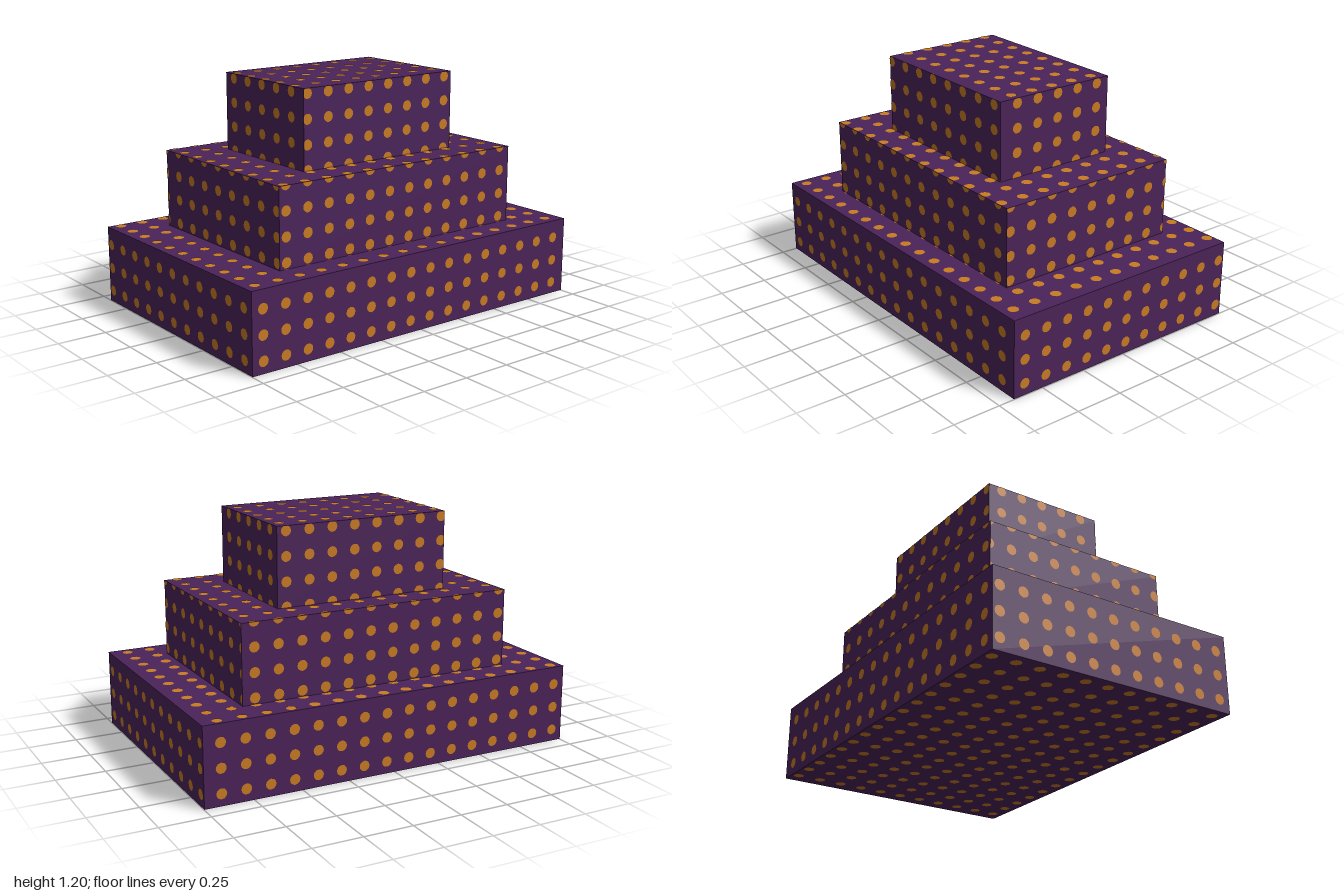
import * as THREE from 'three';

// Dots sit on one shared grid that runs through all tiers
const PITCH = 0.1237, RADIUS = 0.027, LIFT = 0.002, SIDES = 12;
const ORIGIN = [-0.941, 0.062, -0.631];

const clamp = THREE.MathUtils.clamp;

// Adds the dots of one box face, each clipped to the face's edges
function addFaceDots(out, min, max, axis, sign, hidden) {
  let u = (axis + 1) % 3, v = (axis + 2) % 3;
  if (sign < 0) [u, v] = [v, u];
  const level = sign > 0 ? max[axis] + LIFT : min[axis] - LIFT;
  const first = (a) => Math.ceil((min[a] - RADIUS - ORIGIN[a]) / PITCH);
  const last = (a) => Math.floor((max[a] + RADIUS - ORIGIN[a]) / PITCH);
  const push = (a, b) => {
    const p = [0, 0, 0];
    p[axis] = level;
    p[u] = clamp(a, min[u], max[u]);
    p[v] = clamp(b, min[v], max[v]);
    out.push(...p);
  };
  for (let i = first(u); i <= last(u); i++) {
    for (let j = first(v); j <= last(v); j++) {
      const cu = ORIGIN[u] + i * PITCH, cv = ORIGIN[v] + j * PITCH;
      // Leave out dots that the tier above covers completely
      if (hidden && Math.abs(cu) < hidden[u] - RADIUS && Math.abs(cv) < hidden[v] - RADIUS) continue;
      for (let k = 0; k < SIDES; k++) {
        const a = (k / SIDES) * Math.PI * 2, b = ((k + 1) / SIDES) * Math.PI * 2;
        push(cu, cv);
        push(cu + RADIUS * Math.cos(a), cv + RADIUS * Math.sin(a));
        push(cu + RADIUS * Math.cos(b), cv + RADIUS * Math.sin(b));
      }
    }
  }
}

export function createModel() {
  const purple = new THREE.MeshStandardMaterial({ color: 0x4b2359 });
  purple.name = 'purple';
  const orange = new THREE.MeshStandardMaterial({ color: 0xc87b22 });
  orange.name = 'orange';

  const model = new THREE.Group();
  model.name = 'steppedBlock';
  const height = 0.4;
  const tiers = [
    { name: 'bottomTier', x: 1, z: 0.667 },
    { name: 'middleTier', x: 0.731, z: 0.501 },
    { name: 'topTier', x: 0.467, z: 0.333 },
  ];

  tiers.forEach(({ name, x, z }, i) => {
    const tier = new THREE.Group();
    tier.name = name;

    // Plain block
    const block = new THREE.Mesh(new THREE.BoxGeometry(2 * x, height, 2 * z), purple);
    block.name = name + 'Block';
    block.position.y = (i + 0.5) * height;
    tier.add(block);

    // Dots on the four sides, the top, and the underside of the lowest tier
    const min = [-x, i * height, -z], max = [x, (i + 1) * height, z];
    const above = tiers[i + 1];
    const points = [];
    for (const sign of [1, -1]) {
      addFaceDots(points, min, max, 0, sign);
      addFaceDots(points, min, max, 2, sign);
    }
    addFaceDots(points, min, max, 1, 1, above && [above.x, 0, above.z]);
    if (i === 0) addFaceDots(points, min, max, 1, -1);

    const geometry = new THREE.BufferGeometry();
    geometry.setAttribute('position', new THREE.Float32BufferAttribute(points, 3));
    geometry.computeVertexNormals();
    const dots = new THREE.Mesh(geometry, orange);
    dots.name = name + 'Dots';
    tier.add(dots);
    model.add(tier);
  });

  // Stand the underside dots on the ground
  model.position.y = LIFT;
  return model;
}
